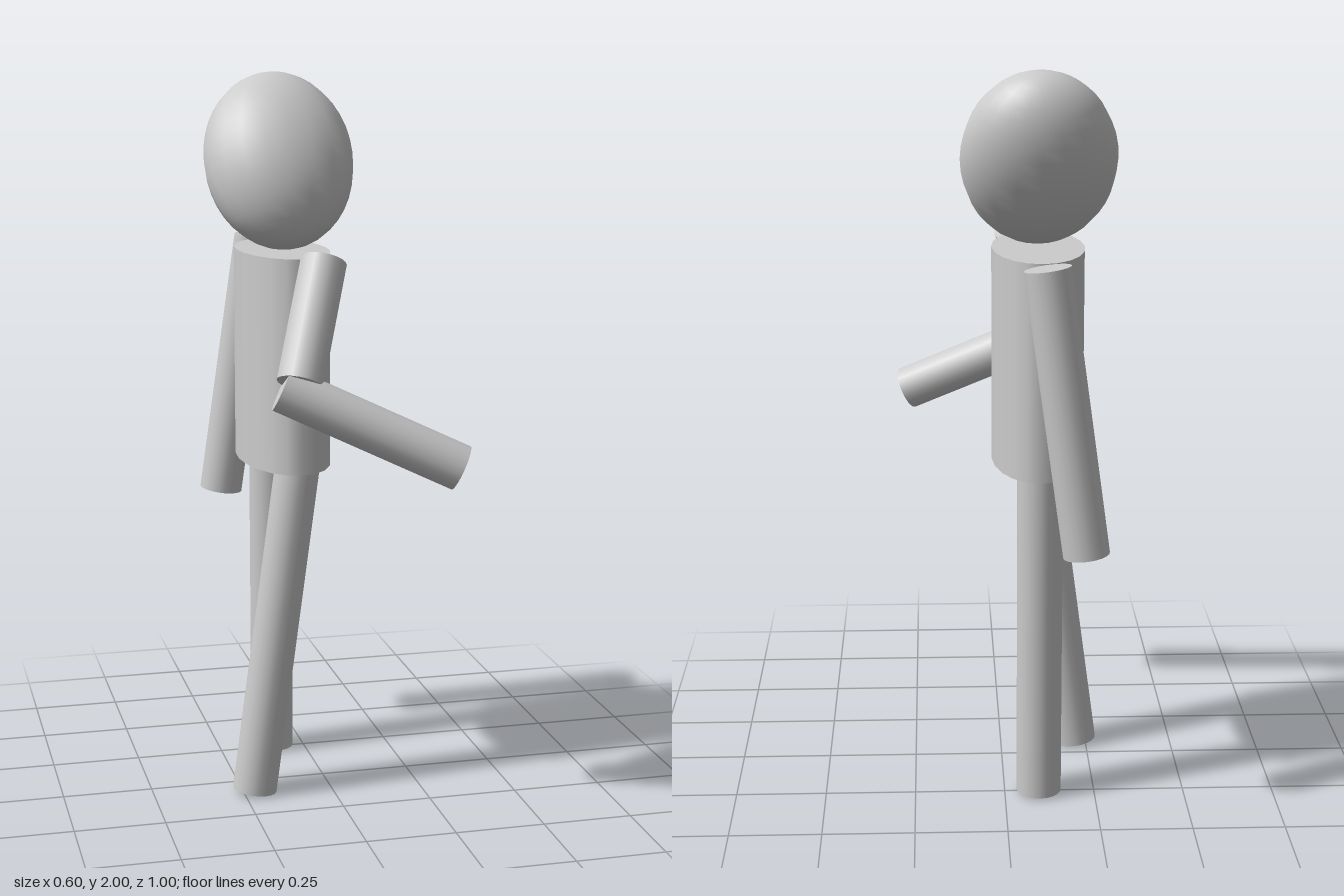
import * as THREE from 'three';

const material = new THREE.MeshStandardMaterial({ color: 0xcccccc });
const SIDES = 20;
const LIMB_RADIUS = 0.062;
const UP = new THREE.Vector3(0, 1, 0);

// Capped round limb running between two points
function limb(name, from, to) {
  const a = new THREE.Vector3(...from);
  const b = new THREE.Vector3(...to);
  const axis = a.clone().sub(b);
  const geometry = new THREE.CylinderGeometry(LIMB_RADIUS, LIMB_RADIUS, axis.length(), SIDES);
  const mesh = new THREE.Mesh(geometry, material);
  mesh.name = name;
  mesh.position.copy(a).add(b).multiplyScalar(0.5);
  mesh.quaternion.setFromUnitVectors(UP, axis.normalize());
  return mesh;
}

export function createModel() {
  const model = new THREE.Group();
  model.name = 'figure';

  // Torso: upright oval cylinder
  const torso = new THREE.Mesh(new THREE.CylinderGeometry(1, 1, 0.59, SIDES), material);
  torso.name = 'torso';
  torso.scale.set(0.126, 1, 0.253);
  torso.position.set(-0.095, 1.225, -0.0925);
  model.add(torso);

  // Head: flattened egg tipped sideways
  const head = new THREE.Mesh(new THREE.SphereGeometry(1, SIDES, SIDES), material);
  head.name = 'head';
  head.scale.set(0.21, 0.257, 0.153);
  head.rotation.x = THREE.MathUtils.degToRad(-27);
  head.position.set(-0.095, 1.761, -0.125);
  model.add(head);

  // Legs: one swung back, one straight
  model.add(limb('swungLeg', [-0.093, 0.935, 0.085], [-0.218, 0.009, 0.085]));
  model.add(limb('straightLeg', [-0.095, 0.935, -0.255], [-0.095, 0.007, -0.255]));

  // Straight arm
  model.add(limb('straightArm', [-0.104, 1.52, -0.404], [-0.208, 0.762, -0.439]));

  // Bent arm: upper arm and forearm
  const bentArm = new THREE.Group();
  bentArm.name = 'bentArm';
  bentArm.add(limb('upperArm', [-0.046, 1.52, 0.203], [-0.143, 1.22, 0.342]));
  bentArm.add(limb('forearm', [-0.19, 1.208, 0.335], [0.268, 0.995, 0.438]));
  model.add(bentArm);

  return model;
}
